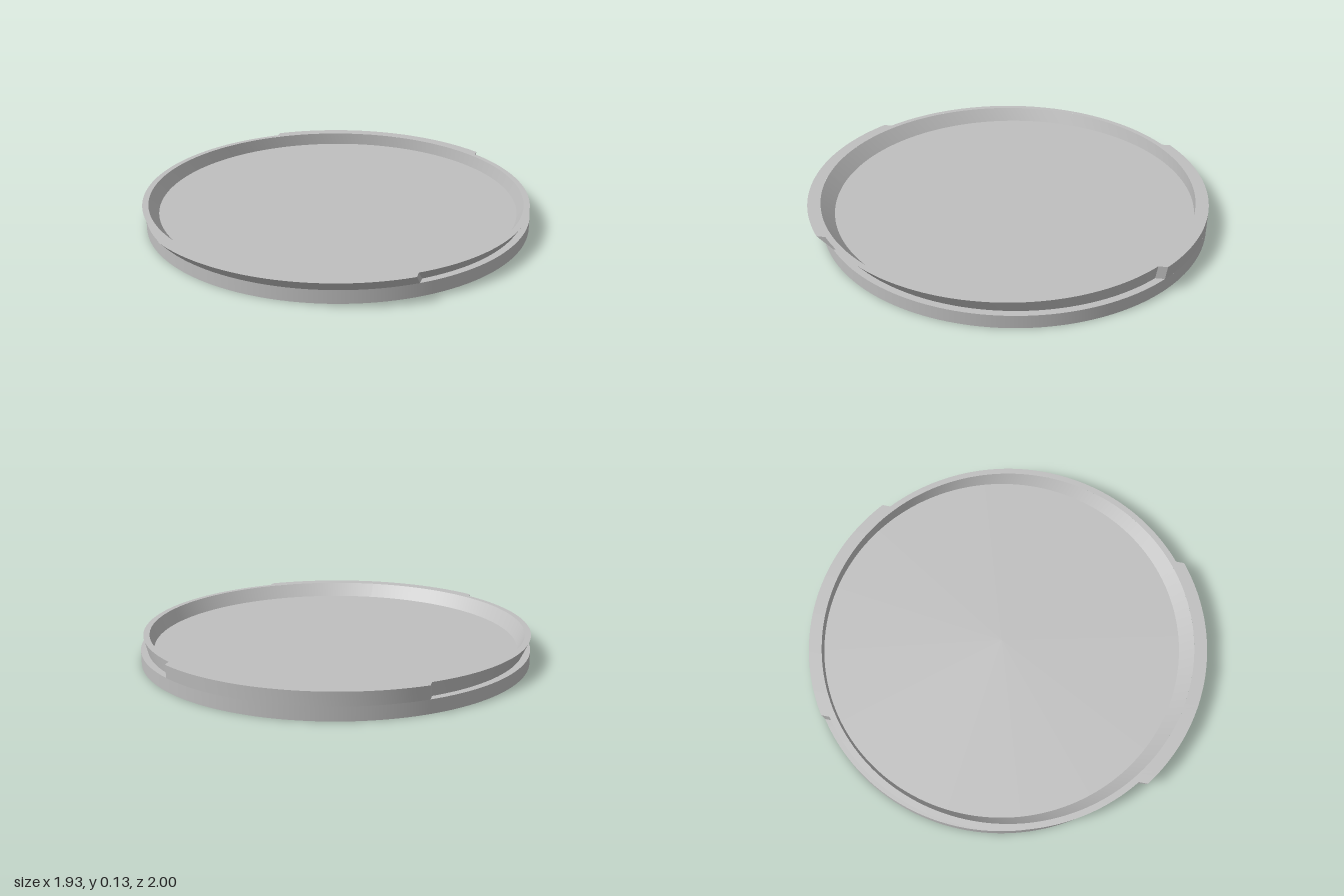
import * as THREE from 'three';

const RIM_Y = 0.065, TOP_Y = 0.13; // floor / ledge height and rim height
const LEAN = 0.033;                // the rim flares forward while its back stays upright
const R_TAB = 1, R_RIM = 0.966, R_IN = 0.936;
const TAB_X = 0.59;                // half width of the front and back tabs

// Point on a circle of the leaning rim: level 0 = ledge, 1 = top
function rimPoint(r, level, angle) {
  const k = LEAN * (1 - level);
  return new THREE.Vector3((r - k) * Math.sin(angle), RIM_Y + (TOP_Y - RIM_Y) * level, (r - k) * Math.cos(angle) - k);
}

// Surface between two curves, each a function of t from 0 to 1
function strip(a, b, n) {
  const pos = [], index = [];
  for (let i = 0; i <= n; i++) {
    pos.push(...a(i / n).toArray(), ...b(i / n).toArray());
    if (i < n) {
      const k = i * 2;
      index.push(k, k + 2, k + 1, k + 1, k + 2, k + 3);
    }
  }
  const g = new THREE.BufferGeometry();
  g.setAttribute('position', new THREE.Float32BufferAttribute(pos, 3));
  g.setIndex(index);
  g.computeVertexNormals();
  return g;
}

export function createModel() {
  const group = new THREE.Group();
  const grey = new THREE.MeshStandardMaterial({ color: 0xbfbfbf });
  grey.name = 'grey';
  const add = (name, geometry) => {
    const mesh = new THREE.Mesh(geometry, grey);
    mesh.name = name;
    group.add(mesh);
    return mesh;
  };

  // Solid round base
  const rBase = R_TAB - LEAN;
  add('base', new THREE.CylinderGeometry(rBase, rBase, RIM_Y, 160)).position.set(0, RIM_Y / 2, -LEAN);

  // Sloping inside wall
  const full = (level) => (t) => rimPoint(R_IN, level, t * Math.PI * 2);
  add('innerWall', strip(full(1), full(0), 160));

  // Rim in four sectors, split where the tabs end at x = +-TAB_X
  const sectors = [
    ['frontTab', 0, true], ['leftRim', Math.PI / 2, false],
    ['backTab', Math.PI, true], ['rightRim', -Math.PI / 2, false],
  ];
  for (const [name, mid, isTab] of sectors) {
    const arc = (r, level) => {
      const a = Math.asin(TAB_X / (r - LEAN * (1 - level)));
      const half = isTab ? a : Math.PI / 2 - a;
      return (t) => rimPoint(r, level, mid + (2 * t - 1) * half);
    };
    const r = isTab ? R_TAB : R_RIM;
    add(name + 'Wall', strip(arc(r, 0), arc(r, 1), 48));
    add(name + 'Top', strip(arc(r, 1), arc(R_IN, 1), 48));

    // Flat tab ends
    if (isTab) {
      for (const end of [0, 1]) {
        const edge = (radius) => (t) => arc(radius, t < 0.5 ? 0 : 1)(end);
        const inner = edge(R_RIM), outer = edge(R_TAB);
        add(name + 'End', end ? strip(inner, outer, 1) : strip(outer, inner, 1));
      }
    }
  }
  return group;
}
